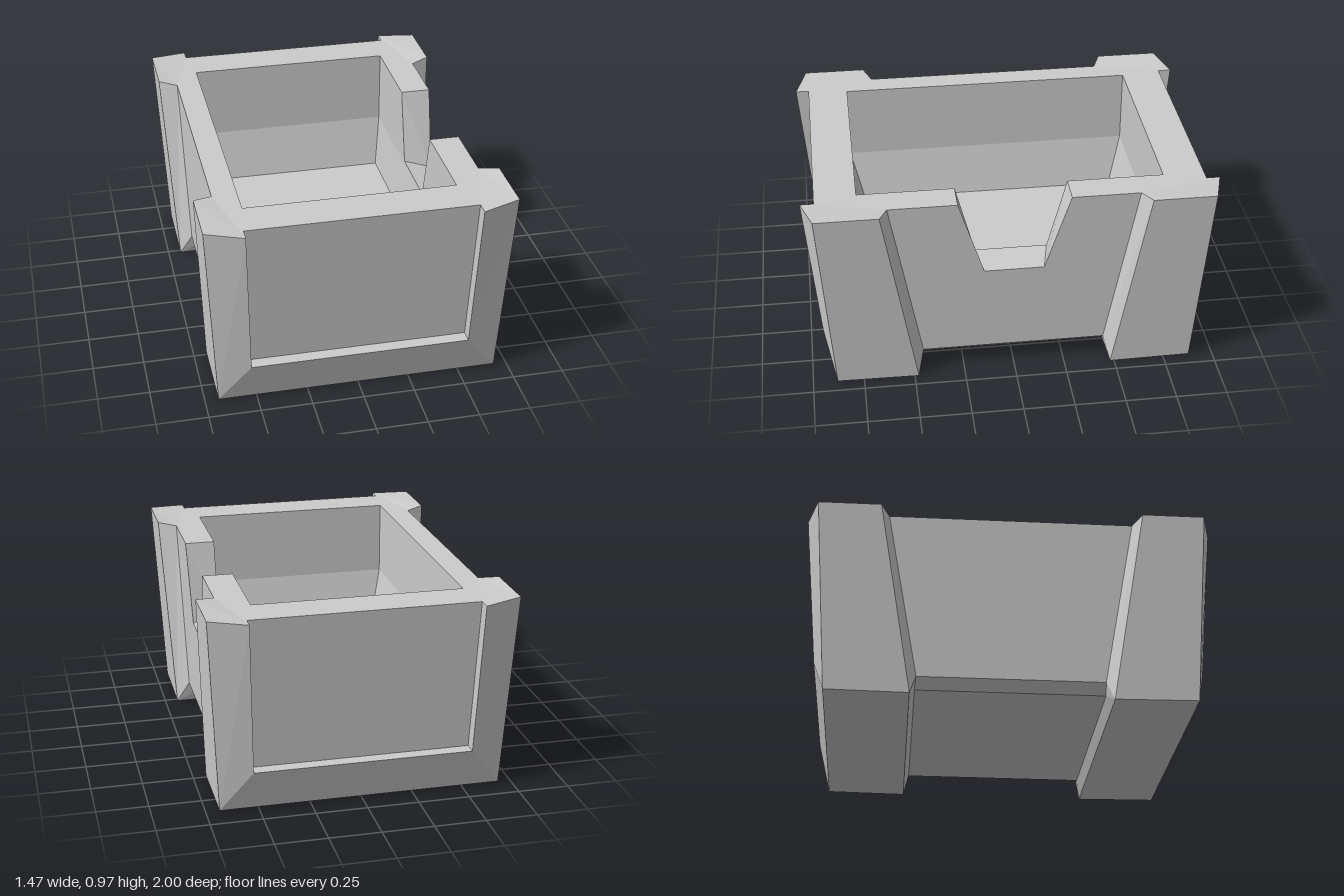
import * as THREE from 'three';

const material = new THREE.MeshStandardMaterial({ color: 0xcccccc, flatShading: true });

// Mesh from convex polygons of [x, y, z] corners, counter-clockwise from outside
function facesMesh(name, polygons) {
  const pos = [];
  for (const p of polygons)
    for (let i = 1; i < p.length - 1; i++) pos.push(...p[0], ...p[i], ...p[i + 1]);
  const geo = new THREE.BufferGeometry();
  geo.setAttribute('position', new THREE.Float32BufferAttribute(pos, 3));
  geo.computeVertexNormals();
  const mesh = new THREE.Mesh(geo, material);
  mesh.name = name;
  return mesh;
}

// Quads between two matching rings
function loft(a, b) {
  return a.map((p, i) => {
    const j = (i + 1) % a.length;
    return [p, a[j], b[j], b[i]];
  });
}

const flip = ([x, y, z]) => [-x, y, z];
const mirror = (polygons) => polygons.map((p) => p.map(flip).reverse());

// Rectangular ring with four extra points on the +x side for the notch
function ring(x0, x1, z, y, n, m, xm = x1, ym = y) {
  return [
    [x1, y, z], [x1, y, n], [xm, ym, m], [xm, ym, -m],
    [x1, y, -n], [x1, y, -z], [x0, y, -z], [x0, y, z],
  ];
}

// Open box: outer wall, rim with notch, upright inner wall, sloped basin and floor
function makeBody() {
  const rings = [
    ring(-0.57, 0.57, 0.858, 0.065, 0.27, 0.145),
    ring(-0.622, 0.622, 0.862, 0.112, 0.27, 0.145),
    ring(-0.643, 0.643, 0.935, 0.96, 0.27, 0.145, 0.633, 0.567),
    ring(-0.522, 0.495, 0.735, 0.96, 0.27, 0.175, 0.495, 0.6),
    ring(-0.522, 0.495, 0.735, 0.585, 0.27, 0.175),
    ring(-0.462, 0.463, 0.67, 0.327, 0.27, 0.175),
  ];
  const polygons = [[...rings[0]].reverse(), rings[5]];
  for (let i = 0; i < 5; i++) polygons.push(...loft(rings[i], rings[i + 1]));
  return facesMesh('notchedBox', polygons);
}

// Slanted corner post, open where it meets the wall
function postFaces() {
  const bottom = [[0.685, 0.005, 0.88], [0.685, 0, 0.48], [0.622, 0.112, 0.45], [0.53, 0.207, 0.87], [0.53, 0.207, 0.935]];
  const top = [[0.734, 0.972, 0.945], [0.734, 0.972, 0.64], [0.643, 0.96, 0.6], [0.55, 0.96, 0.935], [0.55, 0.96, 1.0]];
  return [...loft(bottom, top).filter((_, i) => i !== 2), top];
}

// Sloped foot below the end panel
function plinthFaces() {
  const front = [0.685, 0.005, 0.88], lip = [0.53, 0.207, 0.935], ledge = [0.53, 0.207, 0.87];
  const back = [0.685, 0, 0.48], side = [0.622, 0.112, 0.45], under = [0.57, 0.065, 0.455];
  const corner = [[back, under, side]];
  return [
    [flip(front), front, lip, flip(lip)],
    [flip(lip), lip, ledge, flip(ledge)],
    [flip(back), back, front, flip(front)],
    [back, flip(back), flip(under), under],
    ...corner, ...mirror(corner),
  ];
}

export function createModel() {
  const model = new THREE.Group();
  model.name = 'crate';
  model.add(makeBody());

  // Same frame at both ends
  for (const end of ['front', 'back']) {
    const frame = new THREE.Group();
    frame.name = end + 'Frame';
    frame.add(
      facesMesh('cornerPostA', postFaces()),
      facesMesh('cornerPostB', mirror(postFaces())),
      facesMesh('plinth', plinthFaces()),
    );
    if (end === 'back') frame.rotation.y = Math.PI;
    model.add(frame);
  }
  return model;
}
